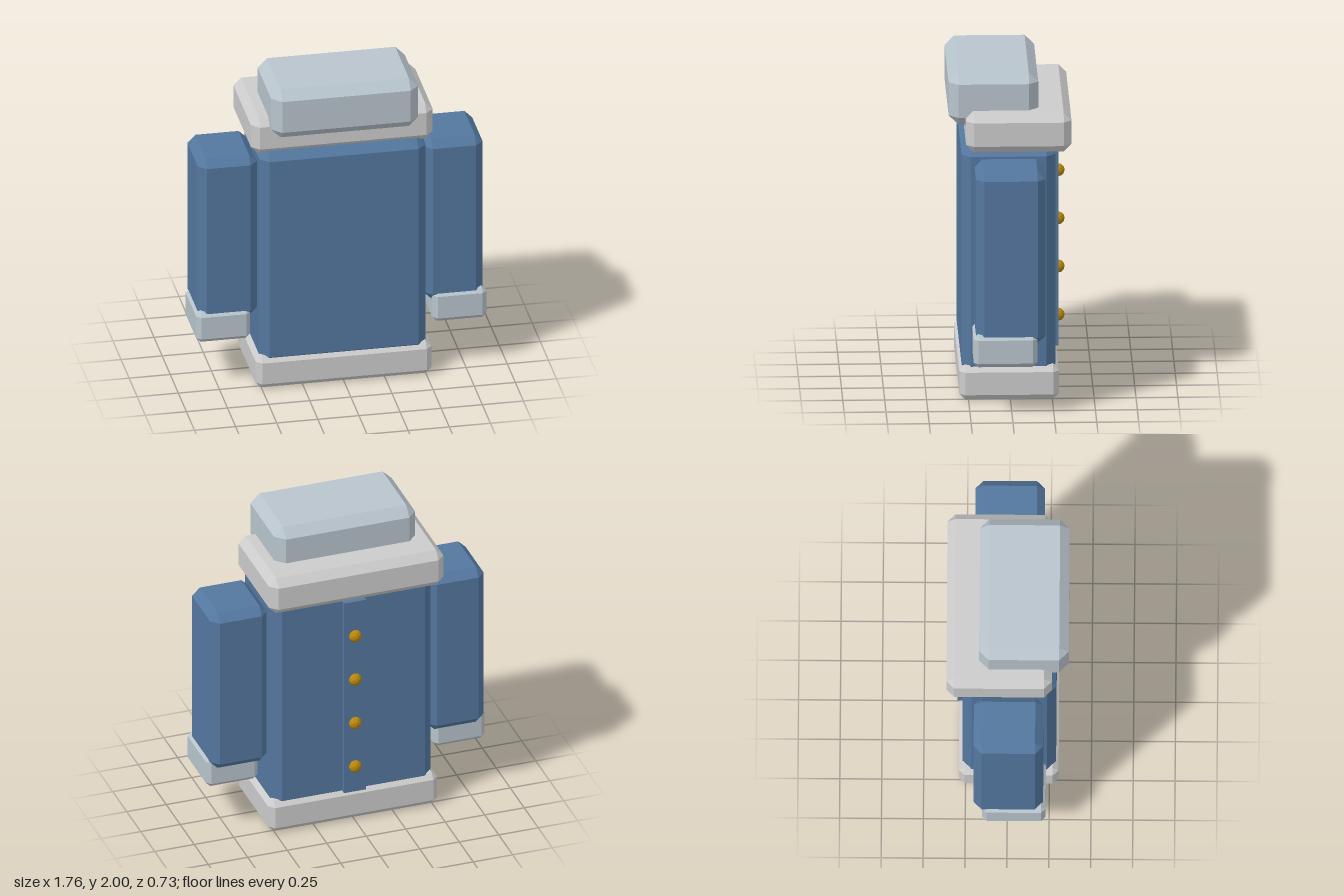
import * as THREE from 'three';
import { ConvexGeometry } from 'three/addons/geometries/ConvexGeometry.js';

const material = (color) => new THREE.MeshStandardMaterial({ color, flatShading: true });

// Box between two corners, with every edge cut at 45 degrees
function chamferBox(name, mat, [x0, y0, z0], [x1, y1, z1], c) {
  const h = [(x1 - x0) / 2, (y1 - y0) / 2, (z1 - z0) / 2];
  const points = [];
  for (const sx of [-1, 1]) for (const sy of [-1, 1]) for (const sz of [-1, 1]) {
    for (let axis = 0; axis < 3; axis++) {
      const [a, b, d] = h.map((v, i) => (i === axis ? v : v - c));
      points.push(new THREE.Vector3(sx * a, sy * b, sz * d));
    }
  }
  const mesh = new THREE.Mesh(new ConvexGeometry(points), mat);
  mesh.name = name;
  mesh.position.set((x0 + x1) / 2, (y0 + y1) / 2, (z0 + z1) / 2);
  return mesh;
}

export function createModel() {
  const jacket = new THREE.Group();
  jacket.name = 'jacket';
  const blue = material(0x54779f);
  const grey = material(0xcccccc);
  const paleBlue = material(0xb8c4cc);
  const gold = material(0xb8860b);

  // Body, hem, collar and hood
  jacket.add(
    chamferBox('torso', blue, [-0.507, 0.15, -0.27], [0.507, 1.565, 0.29], 0.055),
    chamferBox('hem', grey, [-0.535, 0, -0.29], [0.535, 0.21, 0.305], 0.035),
    chamferBox('collar', grey, [-0.553, 1.54, -0.365], [0.553, 1.78, 0.265], 0.047),
    chamferBox('hood', paleBlue, [-0.447, 1.68, -0.17], [0.447, 2, 0.365], 0.057),
  );

  // Sleeves with cuffs
  for (const [side, s] of [['left', 1], ['right', -1]]) {
    const sleeve = chamferBox(side + 'Sleeve', blue, [-0.18, 0.44, -0.2], [0.18, 1.51, 0.215], 0.048);
    sleeve.position.x = s * 0.686;
    const cuff = chamferBox(side + 'Cuff', paleBlue, [-0.164, 0.305, -0.15], [0.164, 0.505, 0.23], 0.028);
    cuff.position.x = s * 0.718;
    jacket.add(sleeve, cuff);
  }

  // Button strip
  const placket = new THREE.Mesh(new THREE.BoxGeometry(0.14, 1.31, 0.05), blue);
  placket.name = 'placket';
  placket.position.set(0, 0.855, -0.275);
  jacket.add(placket);

  // Buttons
  for (let i = 0; i < 4; i++) {
    const button = new THREE.Mesh(new THREE.IcosahedronGeometry(0.04, 1), gold);
    button.name = 'button' + (i + 1);
    button.position.set(0, 0.375 + i * 0.3, -0.3);
    jacket.add(button);
  }
  return jacket;
}
